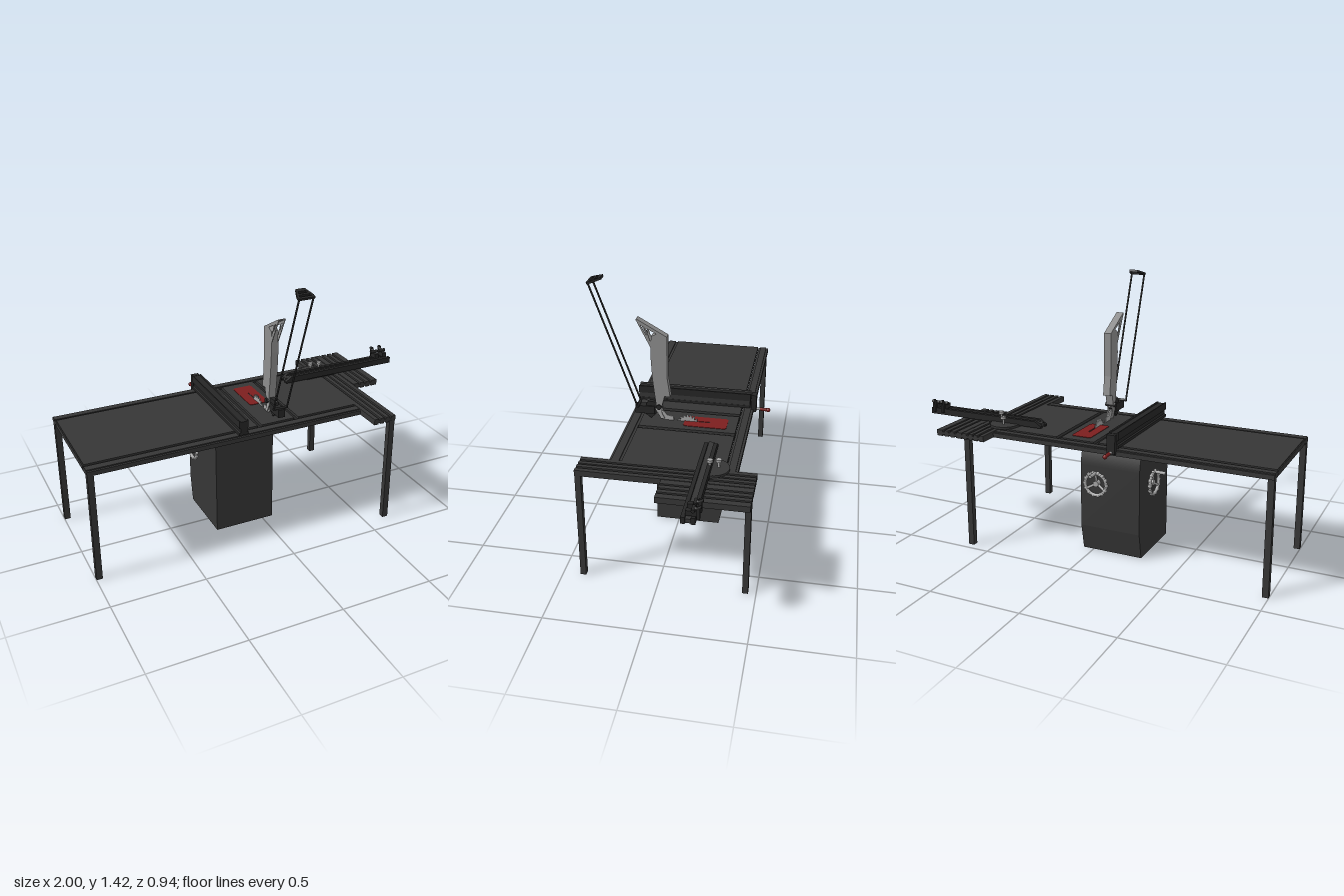
import * as THREE from 'three';

const mat = (name, color) => Object.assign(new THREE.MeshStandardMaterial({ color }), { name });

export function createModel() {
  const root = new THREE.Group();
  root.name = 'tableSaw';
  const dark = mat('charcoal', 0x363636);
  const black = mat('black', 0x262626);
  const red = mat('red', 0x7c1e1e);
  const grey = mat('grey', 0x8e8e8e);
  const silver = mat('silver', 0xa6a6a6);

  const add = (name, geo, m, parent = root) => {
    const mesh = new THREE.Mesh(geo, m);
    mesh.name = name;
    parent.add(mesh);
    return mesh;
  };
  // box given by its limits
  const box = (name, m, x0, x1, y0, y1, z0, z1, parent) => {
    const mesh = add(name, new THREE.BoxGeometry(x1 - x0, y1 - y0, z1 - z0), m, parent);
    mesh.position.set((x0 + x1) / 2, (y0 + y1) / 2, (z0 + z1) / 2);
    return mesh;
  };
  const shapeOf = (pts) => new THREE.Shape(pts.map((p) => new THREE.Vector2(p[0], p[1])));
  const extrude = (shape, depth) =>
    new THREE.ExtrudeGeometry(shape, { depth, bevelEnabled: false, curveSegments: 16 }).translate(0, 0, -depth / 2);
  // side profile in (z, y), given width across x
  const side = (name, m, shape, x, width, parent) => {
    const mesh = add(name, extrude(shape, width).rotateY(-Math.PI / 2), m, parent);
    mesh.position.x = x;
    return mesh;
  };
  // round bar between two points
  const bar = (name, m, a, b, r, parent, sides = 10) => {
    const p = new THREE.Vector3(...a), q = new THREE.Vector3(...b);
    const mesh = add(name, new THREE.CylinderGeometry(r, r, p.distanceTo(q), sides), m, parent);
    mesh.position.copy(p).lerp(q, 0.5);
    mesh.quaternion.setFromUnitVectors(new THREE.Vector3(0, 1, 0), q.sub(p).normalize());
    return mesh;
  };

  // Table: extension panel, end rail, cast top with two mitre slots
  box('extensionPanel', dark, -0.995, -0.16, 0.612, 0.632, -0.312, 0.203);
  box('endRail', dark, -1, -0.965, 0.6, 0.628, -0.31, 0.2);
  for (const [x0, x1] of [[-0.158, -0.07], [-0.045, 0.145], [0.17, 0.515]])
    box('castTop', dark, x0, x1, 0.612, 0.632, -0.312, 0.203);
  for (const x of [-0.0575, 0.1575]) box('mitreSlotFloor', black, x - 0.014, x + 0.014, 0.606, 0.618, -0.312, 0.203);
  for (const x of [-0.3, -0.16, 0.08, 0.48]) box('topRib', dark, x, x + 0.025, 0.596, 0.612, -0.31, 0.2);

  // Front and back guide rails with a raised lip
  for (const [z0, z1] of [[0.206, 0.27], [-0.375, -0.315]]) {
    box('guideRail', dark, -1, 0.515, 0.6, 0.624, z0, z1);
    box('railLip', dark, -1, 0.515, 0.624, 0.63, z0 + 0.012, z1 - 0.012);
  }

  // Legs
  for (const [x, z, top] of [[-0.983, 0.255, 0.602], [-0.983, -0.354, 0.602], [0.625, 0.395, 0.606], [0.625, -0.445, 0.606]])
    box('leg', dark, x - 0.016, x + 0.016, 0, top, z - 0.015, z + 0.015);

  // Cabinet with a bulged back
  const cab = new THREE.Shape();
  cab.moveTo(0.125, 0);
  cab.lineTo(0.125, 0.59);
  cab.lineTo(-0.225, 0.59);
  cab.quadraticCurveTo(-0.252, 0.52, -0.253, 0.48);
  cab.lineTo(-0.253, 0.14);
  cab.lineTo(-0.225, 0);
  cab.closePath();
  side('cabinet', dark, cab, -0.1075, 0.335);
  box('cabinetNeck', dark, -0.25, 0.04, 0.585, 0.613, -0.2, 0.1);

  // Handwheels, built facing +z
  const handwheel = () => {
    const g = new THREE.Group();
    g.name = 'handwheel';
    add('wheelRim', new THREE.TorusGeometry(0.06, 0.009, 8, 28), silver, g).position.z = 0.03;
    for (let i = 0; i < 3; i++) {
      const a = Math.PI / 2 + (i * Math.PI * 2) / 3;
      bar('spoke', silver, [0, 0, 0.016], [0.06 * Math.cos(a), 0.06 * Math.sin(a), 0.03], 0.007, g);
    }
    for (let i = 0; i < 14; i++) {
      const a = (i * Math.PI) / 7;
      add('rimGrip', new THREE.SphereGeometry(0.011, 8, 6), silver, g).position.set(0.062 * Math.cos(a), 0.062 * Math.sin(a), 0.03);
    }
    bar('hub', silver, [0, 0, -0.01], [0, 0, 0.03], 0.016, g, 16);
    bar('crankHandle', silver, [0, 0.06, 0.03], [0, 0.06, 0.092], 0.009, g);
    return g;
  };
  const backWheel = handwheel();
  backWheel.position.set(-0.04, 0.395, -0.253);
  backWheel.rotation.y = Math.PI;
  const sideWheel = handwheel();
  sideWheel.position.set(-0.275, 0.395, -0.13);
  sideWheel.rotation.y = -Math.PI / 2;
  root.add(backWheel, sideWheel);

  // Throat insert
  const insert = shapeOf([[0.01, 0.03], [0.1, 0.03], [0.11, 0.04], [0.11, 0.25], [0.1, 0.26], [0.01, 0.26], [0, 0.25], [0, 0.04]]);
  const slit = new THREE.Path([[0.05, 0.045], [0.05, 0.17], [0.058, 0.17], [0.058, 0.045]].map((p) => new THREE.Vector2(...p)));
  insert.holes.push(slit);
  add('throatInsert', extrude(insert, 0.026).rotateX(-Math.PI / 2), red).position.y = 0.6215;

  // Blade with raked teeth
  const teeth = [];
  const count = 18;
  for (let i = 0; i < count; i++) {
    const a = (i / count) * Math.PI * 2;
    teeth.push([-0.048 + 0.046 * Math.cos(a), 0.612 + 0.046 * Math.sin(a)]);
    teeth.push([-0.048 + 0.064 * Math.cos(a + 0.03), 0.612 + 0.064 * Math.sin(a + 0.03)]);
    teeth.push([-0.048 + 0.058 * Math.cos(a + 0.16), 0.612 + 0.058 * Math.sin(a + 0.16)]);
  }
  side('blade', silver, shapeOf(teeth), 0.054, 0.005);

  // Riving knife and anti-kickback pawls
  side('rivingKnife', silver, shapeOf([[0.03, 0.632], [0.085, 0.632], [0.16, 0.7], [0.18, 0.735], [0.165, 0.745],
    [0.13, 0.7], [0.08, 0.68], [0.065, 0.66], [0.03, 0.655]]), 0.054, 0.007);
  for (const x of [0.04, 0.069])
    side('pawl', silver, shapeOf([[0.075, 0.645], [0.095, 0.642], [0.125, 0.7], [0.115, 0.72], [0.09, 0.705], [0.09, 0.675]]), x, 0.005);

  // Blade guard, raised, with an open triangular nose
  const guard = new THREE.Group();
  guard.name = 'bladeGuard';
  root.add(guard);
  side('guardBody', grey, shapeOf([[0.143, 1.117], [0.105, 1.135], [0.06, 1.11], [0.06, 0.883], [0.045, 0.778],
    [0.075, 0.778], [0.09, 0.718], [0.12, 0.718], [0.139, 0.876], [0.147, 1]]), 0.055, 0.04, guard);
  const nose = shapeOf([[0.222, 1.203], [0.06, 1.113], [0.105, 1.12], [0.147, 1.055]]);
  nose.holes.push(new THREE.Path([[0.198, 1.175], [0.18, 1.165], [0.165, 1.118]].map((p) => new THREE.Vector2(...p))));
  nose.holes.push(new THREE.Path([[0.17, 1.16], [0.115, 1.132], [0.148, 1.09]].map((p) => new THREE.Vector2(...p))));
  for (const x of [0.037, 0.073]) side('guardNose', grey, nose, x, 0.004, guard);
  side('guardNoseTop', grey, shapeOf([[0.222, 1.203], [0.218, 1.207], [0.06, 1.118], [0.06, 1.11]]), 0.055, 0.04, guard);

  // Guard mount and lifting handle
  box('guardMount', black, 0.036, 0.074, 0.668, 0.712, 0.13, 0.235);
  side('mountBracket', black, shapeOf([[0.09, 0.7], [0.15, 0.64], [0.19, 0.668], [0.17, 0.74], [0.12, 0.735]]), 0.054, 0.022);
  bar('pivotPin', black, [0.025, 0.715, 0.105], [0.085, 0.715, 0.105], 0.014);
  const foot = [0.715, 0.217], tip = [1.392, 0.46];
  for (const x of [0.017, 0.093]) bar('liftRod', black, [x, ...foot], [x, ...tip], 0.005);
  bar('liftCross', black, [0.013, ...foot], [0.097, ...foot], 0.007);
  const grip = shapeOf([[-0.044, 0], [0.044, 0], [0.044, 0.02], [0.024, 0.075], [-0.024, 0.075], [-0.044, 0.02]]);
  for (const [y0, y1, w] of [[0.014, 0.028, 0.033], [0.04, 0.054, 0.025]])
    grip.holes.push(new THREE.Path([[-w, y0], [-w + 0.004, y1], [w - 0.004, y1], [w, y0]].map((p) => new THREE.Vector2(...p))));
  const gripMesh = add('liftGrip', extrude(grip, 0.012).rotateX(-Math.PI / 2), black);
  gripMesh.position.set(0.055, 1.389, 0.465);
  gripMesh.rotation.x = 0.33;

  // Rip fence: grooved beam, end clamp and cam handle
  const fence = new THREE.Group();
  fence.name = 'ripFence';
  root.add(fence);
  const half = [[0.026, 0.634], [0.026, 0.648], [0.017, 0.652], [0.017, 0.672], [0.026, 0.676], [0.026, 0.716], [0.02, 0.716], [0.017, 0.71]];
  const beam = shapeOf([...half, ...half.map(([x, y]) => [-x, y]).reverse()]);
  const beamMesh = add('fenceBeam', extrude(beam, 0.625), black, fence);
  beamMesh.position.set(-0.178, 0, -0.045);
  box('fenceFace', dark, -0.161, -0.153, 0.634, 0.716, -0.355, 0.265, fence);
  box('fenceClamp', black, -0.2, -0.156, 0.61, 0.71, -0.39, -0.362, fence);
  bar('camArm', silver, [-0.178, 0.62, -0.385], [-0.178, 0.62, -0.415], 0.007, fence);
  bar('camHandle', red, [-0.178, 0.62, -0.41], [-0.178, 0.618, -0.455], 0.009, fence);
  add('camKnob', new THREE.SphereGeometry(0.012, 12, 8), red, fence).position.set(-0.178, 0.618, -0.455);

  // Sliding rail and sliding table made of slotted extrusions
  const slotted = (name, x0, x1, z0, z1, ribs) => {
    box(name, dark, x0, x1, 0.608, 0.622, z0, z1);
    for (const [a, b] of ribs) box(name + 'Rib', dark, a, b, 0.6, 0.632, z0, z1);
  };
  slotted('slidingRail', 0.515, 0.645, -0.47, 0.41, [[0.515, 0.54], [0.553, 0.575], [0.585, 0.607], [0.62, 0.645]]);
  slotted('slidingTable', 0.645, 0.805, -0.47, -0.022, [[0.65, 0.685], [0.697, 0.722], [0.734, 0.758], [0.77, 0.805]]);

  // Crosscut fence with protractor plate, knobs and flip stops
  const cross = new THREE.Group();
  cross.name = 'crosscutFence';
  root.add(cross);
  const crossShape = shapeOf([[0.3, 0.64], [1, 0.64], [1, 0.674], [0.335, 0.674], [0.3, 0.65]]);
  for (const z of [-0.191, -0.238]) add('crossBeam', extrude(crossShape, 0.02), black, cross).position.z = z;
  box('crossCore', dark, 0.305, 0.995, 0.643, 0.664, -0.229, -0.2, cross);
  box('crossFoot', black, 0.44, 0.62, 0.632, 0.642, -0.25, -0.19, cross);
  const plate = new THREE.Shape();
  plate.moveTo(0.6, 0.235);
  plate.lineTo(0.6, 0.26);
  plate.absarc(0.515, 0.255, 0.08, 0.06, Math.PI, false);
  plate.lineTo(0.43, 0.235);
  add('protractorPlate', extrude(plate, 0.012).rotateX(-Math.PI / 2), dark, cross).position.y = 0.64;
  for (const [x, z, h] of [[0.51, -0.28, 0.69], [0.545, -0.242, 0.705]]) {
    bar('knobStem', silver, [x, 0.64, z], [x, h - 0.014, z], 0.006, cross);
    bar('knob', silver, [x, h - 0.014, z], [x, h, z], 0.014, cross, 14);
  }
  for (const x of [0.918, 0.972]) {
    box('stopBlock', black, x - 0.012, x + 0.012, 0.674, 0.7, -0.25, -0.2, cross);
    bar('stopPivot', black, [x - 0.022, 0.705, -0.235], [x + 0.022, 0.705, -0.235], 0.009, cross);
    bar('stopArm', black, [x, 0.705, -0.24], [x, 0.72, -0.27], 0.008, cross);
    box('stopFlip', black, x - 0.006, x + 0.006, 0.655, 0.725, -0.265, -0.25, cross);
  }
  return root;
}
